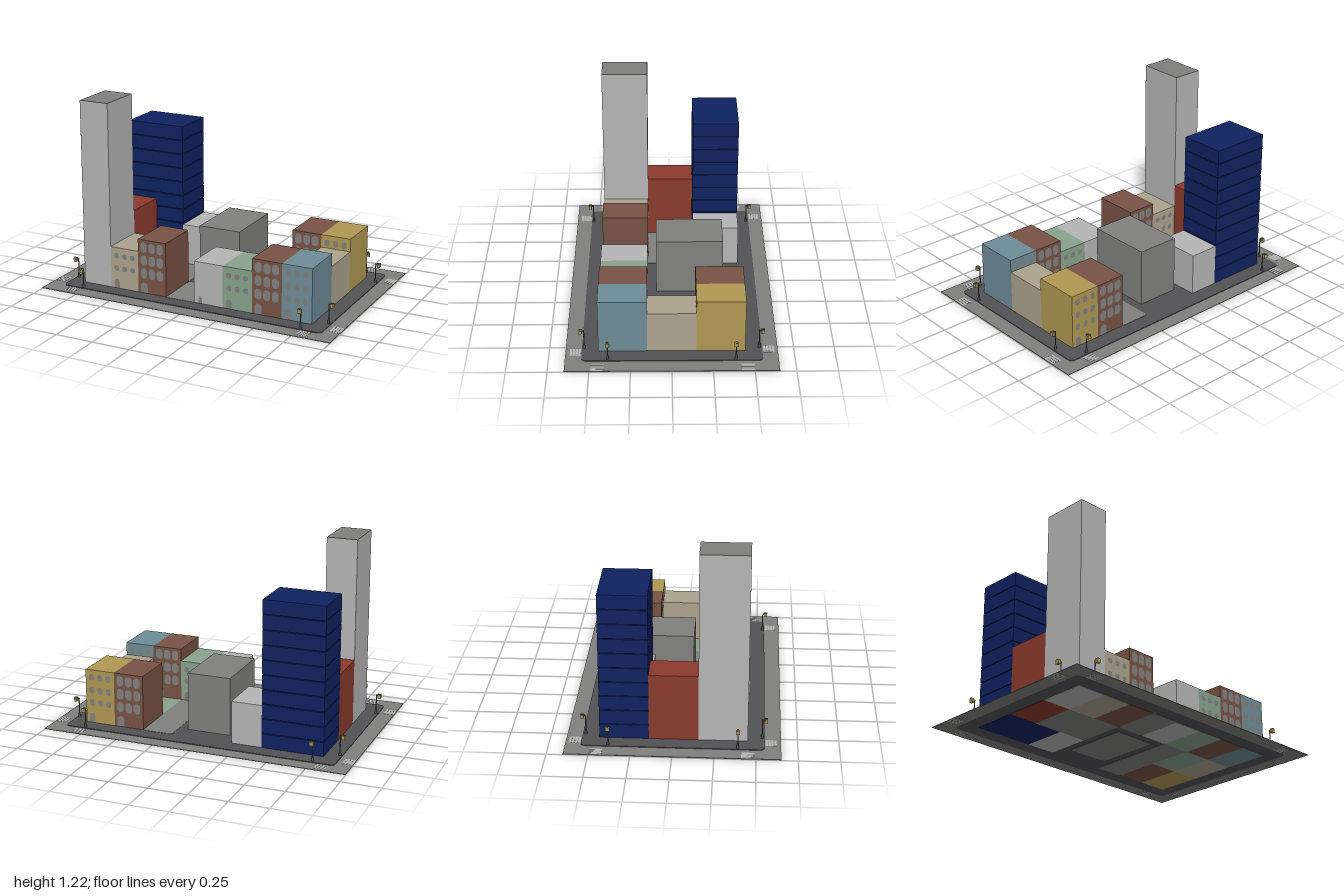
import * as THREE from 'three';

const mat = (name, color) => {
  const m = new THREE.MeshStandardMaterial({ color });
  m.name = name;
  return m;
};

export function createModel() {
  const city = new THREE.Group();
  city.name = 'cityBlock';
  const M = {
    asphalt: mat('asphalt grey', 0x80807e),
    pavement: mat('pavement dark grey', 0x525256),
    light: mat('light grey', 0xb5b5b5),
    navy: mat('navy', 0x0e2260),
    red: mat('brick red', 0x8a3a2c),
    brown: mat('brown', 0x785244),
    beige: mat('beige', 0xada38d),
    green: mat('sage green', 0x87a38c),
    yellow: mat('mustard', 0xb09852),
    blue: mat('slate blue', 0x6e8c97),
  };

  const add = (name, geo, material, parent = city) => {
    const m = new THREE.Mesh(geo, material);
    m.name = name;
    parent.add(m);
    return m;
  };

  // box given by its extents
  const block = (name, x0, x1, y0, y1, z0, z1, material, parent) => {
    const m = add(name, new THREE.BoxGeometry(x1 - x0, y1 - y0, z1 - z0), material, parent);
    m.position.set((x0 + x1) / 2, (y0 + y1) / 2, (z0 + z1) / 2);
    return m;
  };

  // rounded rectangle outline
  const rounded = (x0, x1, y0, y1, r, Kind = THREE.Shape) => {
    const s = new Kind();
    s.moveTo(x0 + r, y0);
    s.lineTo(x1 - r, y0);
    s.absarc(x1 - r, y0 + r, r, -Math.PI / 2, 0);
    s.lineTo(x1, y1 - r);
    s.absarc(x1 - r, y1 - r, r, 0, Math.PI / 2);
    s.lineTo(x0 + r, y1);
    s.absarc(x0 + r, y1 - r, r, Math.PI / 2, Math.PI);
    s.lineTo(x0, y0 + r);
    s.absarc(x0 + r, y0 + r, r, Math.PI, Math.PI * 1.5);
    return s;
  };

  // flat ground slab; shape y becomes -z
  const slab = (name, shape, y0, y1, material) => {
    const g = new THREE.ExtrudeGeometry(shape, { depth: y1 - y0, bevelEnabled: false, curveSegments: 6 });
    g.rotateX(-Math.PI / 2);
    g.translate(0, y0, 0);
    return add(name, g, material);
  };

  // ground: road ring, pavement, alleys, car park and lawn
  const road = new THREE.Shape([[-1, -0.65], [1, -0.65], [1, 0.65], [-1, 0.65]].map(p => new THREE.Vector2(...p)));
  road.holes.push(rounded(-0.9, 0.9, -0.55, 0.555, 0.03, THREE.Path));
  slab('road', road, 0.002, 0.006, M.asphalt);
  slab('pavement', rounded(-0.9, 0.9, -0.55, 0.555, 0.03), 0.002, 0.011, M.pavement);
  slab('backAlley', rounded(0.2, 0.4, -0.15, 0.455, 0.02), 0, 0.013, M.asphalt);
  slab('frontAlley', rounded(-0.2, 0, -0.455, -0.15, 0.02), 0, 0.013, M.asphalt);
  block('carPark', -0.6, -0.2, 0, 0.013, -0.155, 0.15, M.asphalt);
  block('lawn', 0.4, 0.6, 0, 0.013, -0.15, 0.15, M.green);

  // rounded windows and an arched door on the front and back walls
  const facade = (parent, x0, z0, z1, f) => {
    const windowGeo = new THREE.ShapeGeometry(
      rounded(-f.w / 2, f.w / 2, -f.h / 2, f.h / 2, f.w / 2 - 0.001), 6);
    const door = new THREE.Shape();
    door.moveTo(-f.door[0] / 2, 0);
    door.lineTo(f.door[0] / 2, 0);
    door.lineTo(f.door[0] / 2, f.door[1] - f.door[0] / 2);
    door.absarc(0, f.door[1] - f.door[0] / 2, f.door[0] / 2, 0, Math.PI);
    const doorGeo = new THREE.ShapeGeometry(door, 6);
    const mid = x0 + 0.1;
    for (const side of [1, -1]) {
      const z = side > 0 ? z1 + 0.0015 : z0 - 0.0015;
      const place = (name, geo, dx, y) => {
        const m = add(name, geo, M.asphalt, parent);
        m.position.set(mid + side * dx, y, z);
        if (side < 0) m.rotation.y = Math.PI;
      };
      for (const y of f.rows) for (const dx of [-0.058, 0, 0.058]) place('window', windowGeo, dx, y);
      place('door', doorGeo, -0.057, 0.012);
    }
  };

  const low = { w: 0.035, h: 0.036, rows: [0.23, 0.147], door: [0.038, 0.06] };
  const tall = { w: 0.046, h: 0.068, rows: [0.317, 0.23, 0.143], door: [0.05, 0.07] };
  const oval = { w: 0.034, h: 0.044, rows: [0.317, 0.23, 0.147], door: [0.04, 0.065] };
  const plain = { w: 0.03, h: 0.03, rows: [], door: [0.025, 0.045] };

  // buildings: name, left edge, back edge, height, material, facade
  const buildings = [
    ['beigeHouse', -0.6, 0.15, 0.285, M.beige, low],
    ['brownHouse', -0.4, 0.15, 0.367, M.brown, tall],
    ['lightHouse', 0, 0.15, 0.285, M.light, plain],
    ['greenHouse', 0.2, 0.15, 0.285, M.green, low],
    ['brownHouse', 0.4, 0.15, 0.367, M.brown, tall],
    ['blueHouse', 0.6, 0.15, 0.367, M.blue, oval],
    ['redHouse', -0.8, -0.15, 0.44, M.red, null],
    ['beigeHouse', 0.6, -0.15, 0.283, M.beige, null],
    ['lightHouse', -0.4, -0.45, 0.285, M.light, null],
    ['brownHouse', 0.4, -0.45, 0.367, M.brown, tall],
    ['yellowHouse', 0.6, -0.45, 0.367, M.yellow, oval],
  ];
  for (const [name, x, z, h, material, f] of buildings) {
    const g = new THREE.Group();
    g.name = name;
    city.add(g);
    block('walls', x, x + 0.2, 0, h, z, z + 0.3, material, g);
    if (f) facade(g, x, z, z + 0.3, f);
  }

  // tall tower with a grey roof, and the hall in the square
  block('tower', -0.8, -0.6, 0, 1.219, 0.15, 0.45, M.light);
  block('towerRoof', -0.8, -0.6, 1.219, 1.222, 0.15, 0.45, M.asphalt);
  block('hall', -0.145, 0.14, 0, 0.388, -0.335, 0.095, M.asphalt);

  // office block: storeys separated by thin gaps
  const office = new THREE.Group();
  office.name = 'officeBlock';
  city.add(office);
  for (let i = 0; i < 10; i++) {
    const top = 0.957 - i * 0.095;
    block('storey', -0.8, -0.4, i === 9 ? 0 : top - 0.09, top, -0.45, -0.15, M.navy, office);
  }

  // zebra crossings: [x, z, runs along x]
  const crossings = [
    [-0.83, -0.595, true], [0.78, -0.595, true], [-0.81, 0.59, true], [0.81, 0.59, true],
    [-0.965, -0.46, false], [0.965, -0.46, false], [-0.965, 0.45, false], [0.965, 0.45, false],
  ];
  for (const [x, z, alongX] of crossings) {
    for (let i = 0; i < 4; i++) {
      const d = (i - 1.5) * 0.018;
      const stripe = add('crossingStripe',
        new THREE.BoxGeometry(alongX ? 0.07 : 0.014, 0.006, alongX ? 0.014 : 0.08), M.light);
      stripe.position.set(x + (alongX ? 0 : d), 0.004, z + (alongX ? d : 0));
    }
  }

  // street lamps; local +x points over the road
  const lamp = (x, z, angle) => {
    const g = new THREE.Group();
    g.name = 'streetLamp';
    g.position.set(x, 0.01, z);
    g.rotation.y = angle;
    city.add(g);
    add('lampBase', new THREE.CylinderGeometry(0.006, 0.009, 0.03, 8), M.pavement, g).position.y = 0.015;
    add('lampPost', new THREE.CylinderGeometry(0.0035, 0.0035, 0.125, 8), M.pavement, g).position.y = 0.0625;
    block('lampArm', -0.003, 0.03, 0.123, 0.129, -0.003, 0.003, M.pavement, g);
    block('lampHead', 0.012, 0.03, 0.107, 0.132, -0.013, 0.013, M.yellow, g);
    block('lampCap', 0.01, 0.032, 0.132, 0.135, -0.006, 0.006, M.pavement, g);
  };
  for (const z of [-0.39, 0.39]) {
    lamp(0.885, z, 0);
    lamp(-0.885, z, Math.PI);
  }
  for (const x of [-0.758, 0.765]) {
    lamp(x, 0.537, -Math.PI / 2);
    lamp(x, -0.537, Math.PI / 2);
  }
  return city;
}
